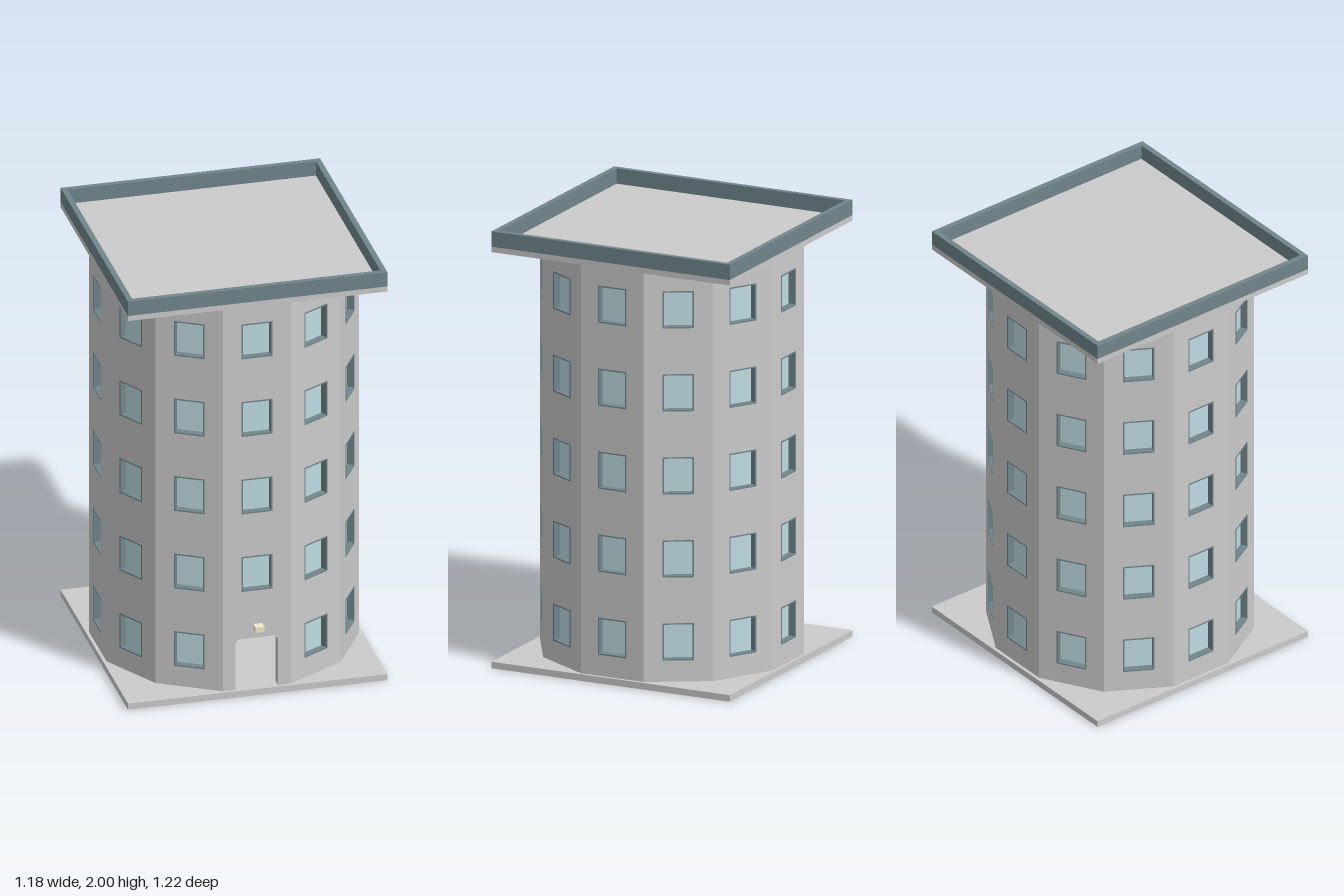
import * as THREE from 'three';

const SIDES = 12, APOTHEM = 0.575, WALL = 0.045;
const HALF = APOTHEM * Math.tan(Math.PI / SIDES); // half width of one facet
const Y0 = 0.03, Y1 = 1.905, CZ = -0.02;
const FLOORS = 5, FIRST = 0.212, STEP = 0.38;
const WIN_W = 0.07, WIN_H = 0.085, FRAME = 0.006; // window half sizes, frame width

const mat = (color) => new THREE.MeshStandardMaterial({ color });
const grey = mat(0xcccccc), trim = mat(0x70868c), glass = mat(0xbedce2), lampMat = mat(0xf3e8cc);

function mesh(name, geometry, material, x = 0, y = 0, z = 0) {
  const m = new THREE.Mesh(geometry, material);
  m.name = name;
  m.position.set(x, y, z);
  return m;
}

function rect(Kind, hw, hh, cy = 0) {
  return new Kind([[-hw, -hh], [hw, -hh], [hw, hh], [-hw, hh]].map(([x, y]) => new THREE.Vector2(x, cy + y)));
}

// One wall facet with window holes, mitred inwards so the neighbours meet
function facetGeometry(hasDoor) {
  const pts = [[-HALF, Y0]];
  if (hasDoor) {
    pts.push([-0.097, Y0], [-0.097, 0.258], [-0.08, 0.275], [0.08, 0.275], [0.097, 0.258], [0.097, Y0]);
  }
  pts.push([HALF, Y0], [HALF, Y1], [-HALF, Y1]);
  const shape = new THREE.Shape(pts.map(([x, y]) => new THREE.Vector2(x, y)));
  for (let f = hasDoor ? 1 : 0; f < FLOORS; f++) {
    shape.holes.push(rect(THREE.Path, WIN_W, WIN_H, FIRST + f * STEP));
  }
  const geo = new THREE.ExtrudeGeometry(shape, { depth: WALL, bevelEnabled: false });
  geo.translate(0, 0, -WALL);
  const p = geo.attributes.position;
  for (let i = 0; i < p.count; i++) {
    if (p.getZ(i) < -WALL / 2 && Math.abs(p.getX(i)) > HALF - 1e-4) {
      p.setX(i, p.getX(i) * (APOTHEM - WALL) / APOTHEM);
    }
  }
  geo.computeVertexNormals();
  return geo;
}

// Rectangular ring, extruded along z
function ringGeometry(hw, hh, t, depth) {
  const shape = rect(THREE.Shape, hw, hh);
  shape.holes.push(rect(THREE.Path, hw - t, hh - t));
  return new THREE.ExtrudeGeometry(shape, { depth, bevelEnabled: false });
}

export function createModel() {
  const model = new THREE.Group();
  model.name = 'tower';

  // Ground plate and roof slab
  model.add(mesh('basePlate', new THREE.BoxGeometry(1.18, 0.03, 1.18), grey, 0, 0.015, CZ));
  model.add(mesh('roofSlab', new THREE.BoxGeometry(1.18, 0.025, 1.18), grey, 0, 1.9175, CZ));

  // Parapet around the roof
  const parapet = mesh('parapet', ringGeometry(0.59, 0.59, 0.025, 0.07), trim, 0, 1.93, CZ);
  parapet.rotation.x = -Math.PI / 2;
  model.add(parapet);

  // Twelve hollow wall facets with recessed windows
  const plain = facetGeometry(false), withDoor = facetGeometry(true);
  const frameGeo = ringGeometry(WIN_W, WIN_H, FRAME, WALL + 0.002);
  const paneGeo = new THREE.BoxGeometry(2 * (WIN_W - FRAME), 2 * (WIN_H - FRAME), 0.008);
  for (let i = 0; i < SIDES; i++) {
    const side = new THREE.Group();
    side.name = 'wallSide';
    const a = (i / SIDES) * Math.PI * 2;
    side.position.set(Math.sin(a) * APOTHEM, 0, CZ + Math.cos(a) * APOTHEM);
    side.rotation.y = a;
    side.add(mesh(i ? 'wall' : 'entranceWall', i ? plain : withDoor, grey));
    for (let f = i ? 0 : 1; f < FLOORS; f++) {
      const y = FIRST + f * STEP;
      side.add(mesh('windowFrame', frameGeo, trim, 0, y, -WALL));
      side.add(mesh('windowPane', paneGeo, glass, 0, y, -0.034));
    }
    model.add(side);
  }

  // Lamp above the doorway
  model.add(mesh('entranceLamp', new THREE.BoxGeometry(0.04, 0.025, 0.04), lampMat, 0, 0.338, 0.59));
  return model;
}
